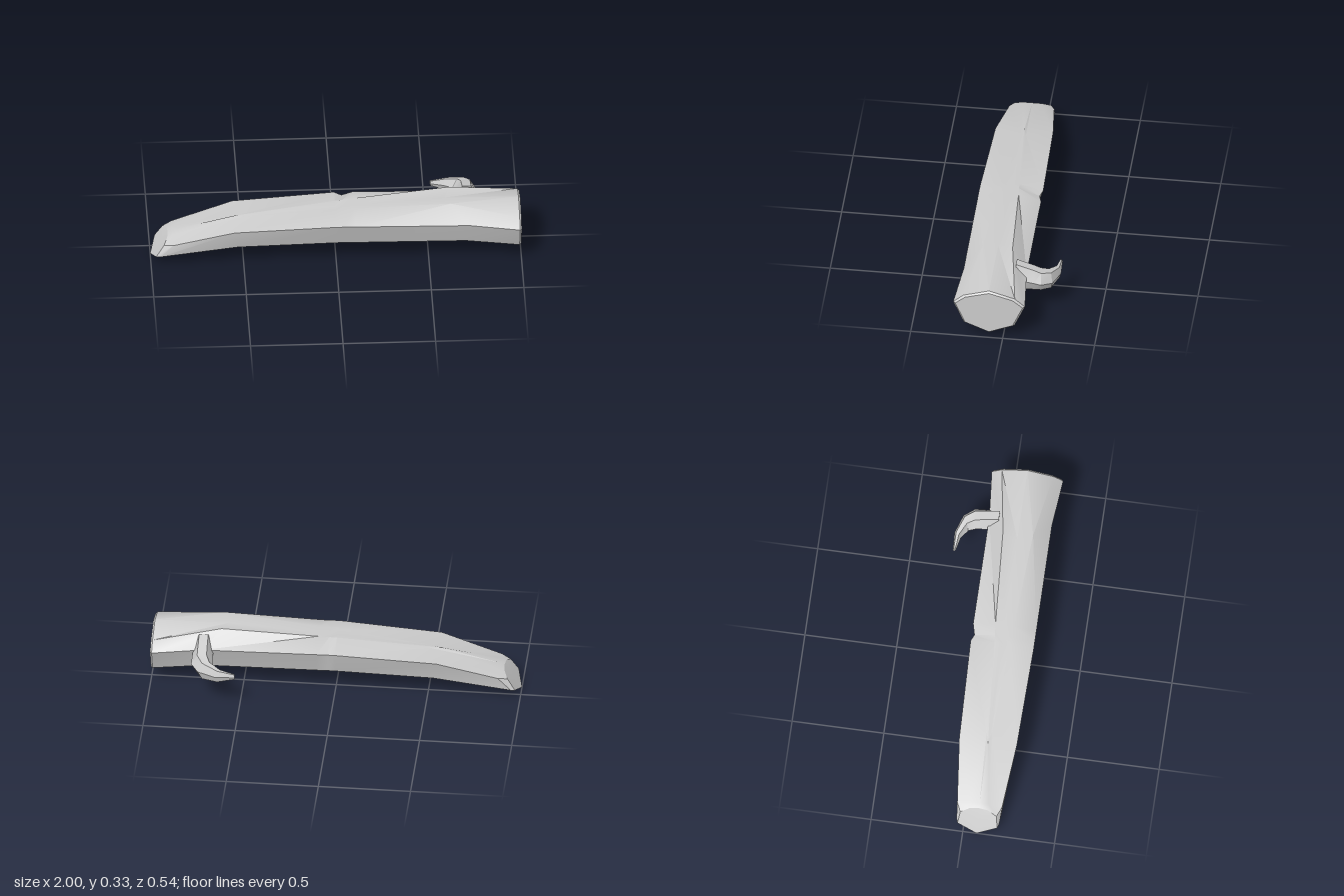
import * as THREE from 'three';
import { toCreasedNormals } from 'three/addons/utils/BufferGeometryUtils.js';

const material = new THREE.MeshStandardMaterial({ color: 0xcccccc });

// Skin a list of equal-sized rings of [x, y, z] points and close both ends
function loft(rings, crease) {
  const n = rings[0].length;
  const position = rings.flat(2);
  const index = [];
  for (let i = 0; i < rings.length - 1; i++) {
    for (let j = 0; j < n; j++) {
      const a = i * n + j, b = i * n + (j + 1) % n;
      index.push(a, b, a + n, b, b + n, a + n);
    }
  }
  // Cap fans around each ring's centre
  [[0, true], [rings.length - 1, false]].forEach(([r, flip]) => {
    const c = position.length / 3;
    for (let k = 0; k < 3; k++) position.push(rings[r].reduce((s, p) => s + p[k], 0) / n);
    for (let j = 0; j < n; j++) {
      const a = r * n + j, b = r * n + (j + 1) % n;
      index.push(c, ...(flip ? [b, a] : [a, b]));
    }
  });
  const g = new THREE.BufferGeometry();
  g.setAttribute('position', new THREE.Float32BufferAttribute(position, 3));
  g.setIndex(index);
  return toCreasedNormals(g, crease);
}

const AXIS_Z = 0.075;

// Half section (top, ridge, side, lower, bottom as [x, y, half width]) mirrored to eight points
function mirroredRing(half) {
  const near = half.map(([x, y, w]) => [x, y, AXIS_Z + w]);
  const far = half.slice(1, 4).reverse().map(([x, y, w]) => [x, y, AXIS_Z - w]);
  return [...near, ...far];
}

function createLog() {
  const sections = [
    // slanted cut tip
    [[-0.905, 0.142, 0], [-0.91, 0.138, 0.05], [-0.93, 0.115, 0.098], [-0.972, 0.05, 0.108], [-1, 0.003, 0]],
    [[-0.88, 0.152, 0], [-0.88, 0.149, 0.05], [-0.88, 0.13, 0.122], [-0.95, 0.054, 0.116], [-0.98, 0.005, 0]],
    // bend
    [[-0.55, 0.232, 0], [-0.5, 0.234, 0.015], [-0.55, 0.225, 0.157], [-0.53, 0.112, 0.125], [-0.55, 0.045, 0]],
    // middle, where the twin ridges open out
    [[0, 0.277, 0], [0, 0.285, 0.042], [0, 0.255, 0.172], [0, 0.127, 0.13], [0, 0.045, 0]],
    [[0.04, 0.28, 0], [0.04, 0.288, 0.045], [0.04, 0.255, 0.172], [0.04, 0.127, 0.13], [0.04, 0.045, 0]],
    [[0.1, 0.284, 0], [0.1, 0.293, 0.05], [0.1, 0.254, 0.172], [0.1, 0.126, 0.13], [0.1, 0.045, 0]],
    // ridge ends
    [[0.59, 0.316, 0], [0.62, 0.33, 0.082], [0.72, 0.244, 0.171], [0.7, 0.12, 0.13], [0.7, 0.045, 0]],
    // flared butt with a small bevel
    [[0.99, 0.312, 0], [0.99, 0.27, 0.14], [0.99, 0.222, 0.195], [0.99, 0.09, 0.138], [0.99, 0.032, 0]],
    [[1, 0.302, 0], [1, 0.264, 0.13], [1, 0.22, 0.183], [1, 0.095, 0.129], [1, 0.041, 0]],
  ];
  const rings = sections.map(mirroredRing);
  // Small nick in the back edge
  rings[4][6] = [0.04, 0.245, -0.082];
  return loft(rings, 0.5);
}

function createTwig() {
  // Each section: outer [x, z], inner [x, z], middle height, half height
  const sections = [
    [[0.77, -0.04], [0.66, -0.04], 0.23, 0.08],
    [[0.77, -0.14], [0.657, -0.13], 0.214, 0.064],
    [[0.77, -0.18], [0.655, -0.165], 0.206, 0.056],
    [[0.73, -0.237], [0.645, -0.2], 0.195, 0.05],
    [[0.63, -0.272], [0.6, -0.235], 0.187, 0.035],
    [[0.525, -0.268], [0.53, -0.25], 0.19, 0.014],
  ];
  const rings = sections.map(([o, i, y, h]) =>
    [[0.28, 1], [0.72, 1], [1, 0], [0.72, -1], [0.28, -1], [0, 0]].map(([t, v]) => [
      THREE.MathUtils.lerp(i[0], o[0], t), y + v * h, THREE.MathUtils.lerp(i[1], o[1], t),
    ]));
  return loft(rings, 0.5);
}

export function createModel() {
  const group = new THREE.Group();
  group.name = 'fallenLog';
  const log = new THREE.Mesh(createLog(), material);
  log.name = 'trunk';
  const twig = new THREE.Mesh(createTwig(), material);
  twig.name = 'twig';
  group.add(log, twig);
  return group;
}
